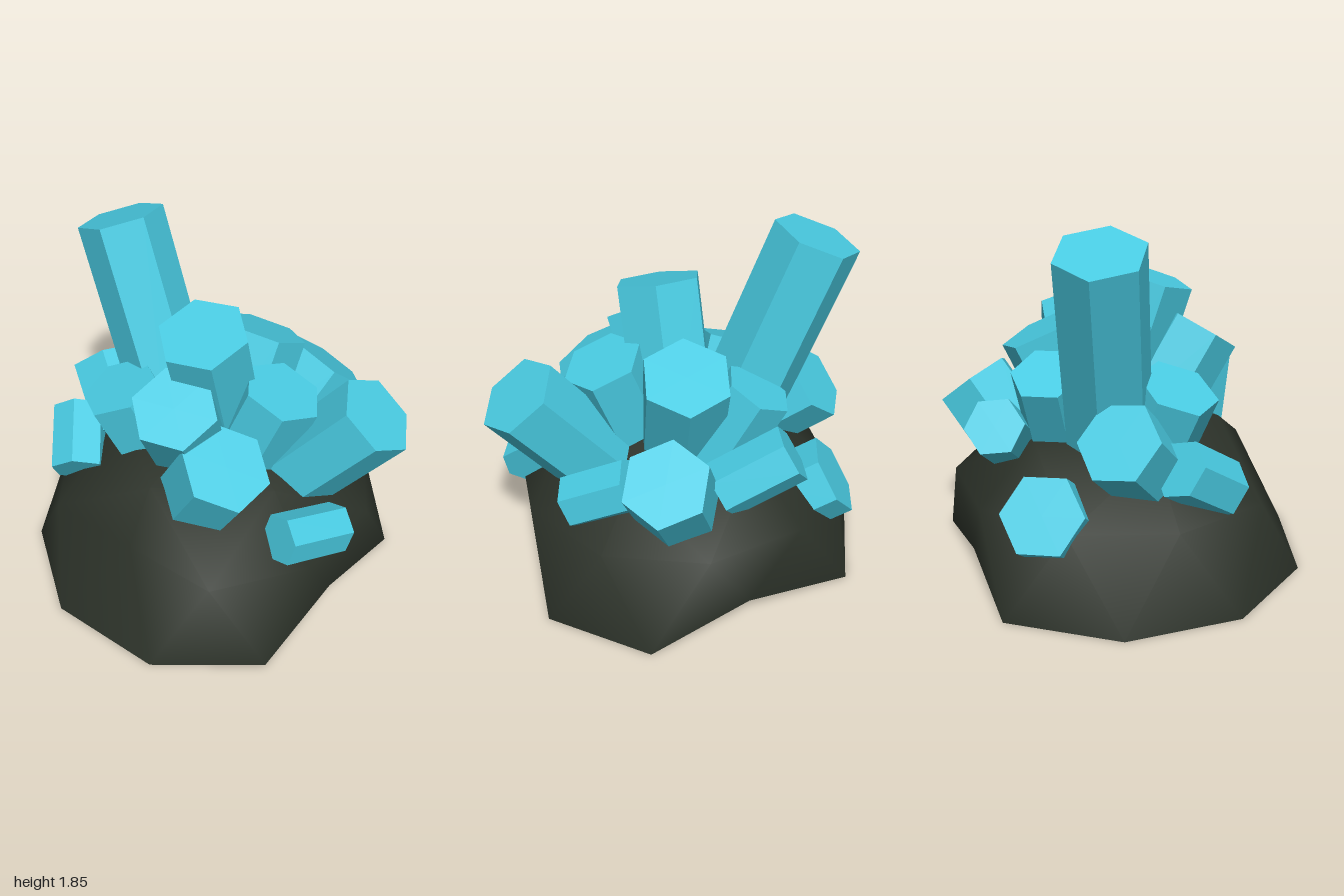
import * as THREE from 'three';

const crystalMat = new THREE.MeshStandardMaterial({ color: 0x49cbe2 });
crystalMat.name = 'cyan crystal';
const rockMat = new THREE.MeshStandardMaterial({ color: 0x2c3229, side: THREE.DoubleSide });
rockMat.name = 'dark rock';

// Evenly spaced points on a level ring, starting from -x
function ring(count, rx, rz, y, turn = 0) {
  return Array.from({ length: count }, (_, k) => {
    const a = Math.PI + turn + (k / count) * Math.PI * 2;
    return new THREE.Vector3(rx * Math.cos(a), y, rz * Math.sin(a));
  });
}

// Hollow rock dome: rim, shoulder, crown and peak, with a few dents
function makeRock() {
  const rim = ring(10, 0.98, 1, 0, Math.PI / 10);
  const shoulder = ring(10, 0.86, 0.86, 0.46);
  const crown = ring(5, 0.53, 0.53, 0.74);

  // Flattened front and left flank, lower crown on the right
  rim.forEach((p) => { p.z = Math.min(p.z, 0.77); });
  shoulder.forEach((p) => {
    p.x = Math.max(p.x, -0.7);
    p.z = Math.min(p.z, 0.8);
  });
  crown[3].y = 0.66;
  // Notches lifted from the ground
  rim[7].y = 0.1;
  rim[4].set(0.76, 0.1, -0.23);

  const e = (k) => (k + 10) % 10;
  const r = (k) => 10 + (k + 10) % 10;
  const s = (j) => 20 + j % 5;
  const peak = 25;
  const index = [];
  for (let k = 0; k < 10; k++) {
    index.push(r(k), e(k), e(k - 1), r(k), r(k + 1), e(k));
  }
  for (let j = 0; j < 5; j++) {
    index.push(s(j), r(2 * j + 1), r(2 * j), s(j), r(2 * j), r(2 * j - 1));
    index.push(s(j), s(j + 1), r(2 * j + 1), peak, s(j + 1), s(j));
  }
  const points = [...rim, ...shoulder, ...crown, new THREE.Vector3(0, 0.9, 0)];
  const geo = new THREE.BufferGeometry().setFromPoints(points);
  geo.setIndex(index);
  geo.computeVertexNormals();
  const rock = new THREE.Mesh(geo, rockMat);
  rock.name = 'rockBase';
  return rock;
}

// Six-sided prism: outer end centred on x, y, z; axis points along dx, dy, dz
function makeCrystal(name, radius, length, x, y, z, dx, dy, dz, roll = 0.1) {
  const geo = new THREE.CylinderGeometry(radius, radius, length, 6).toNonIndexed();
  geo.translate(0, -length / 2, 0);
  geo.computeVertexNormals();
  const crystal = new THREE.Mesh(geo, crystalMat);
  crystal.name = name;
  crystal.position.set(x, y, z);
  const axis = new THREE.Vector3(dx, dy, dz).normalize();
  crystal.quaternion.setFromUnitVectors(new THREE.Vector3(0, 1, 0), axis);
  crystal.rotateY(roll);
  return crystal;
}

export function createModel() {
  const model = new THREE.Group();
  model.name = 'crystalCluster';
  model.add(
    makeRock(),
    // Upper cluster
    makeCrystal('tallCrystal', 0.225, 1.3, 0.1, 1.77, -0.69, 0.05, 1, -0.38, -0.24),
    makeCrystal('topLeftCrystal', 0.23, 0.85, -0.16, 1.49, 0.05, -0.32, 1, 0.06, 0.3),
    makeCrystal('topRightCrystal', 0.23, 0.7, 0.39, 1.225, 0.02, 0.48, 1, 0.05, 0.4),
    makeCrystal('middleCrystal', 0.21, 0.6, 0.06, 1.17, 0.38, 0.12, 1, 0.38),
    makeCrystal('innerBackCrystal', 0.18, 0.5, 0.36, 1.1, -0.35, 0.15, 1, -0.5, 0.3),
    makeCrystal('backSideCrystal', 0.21, 0.55, -0.28, 1.04, -0.41, -0.34, 1, -0.3, 0.5),
    // Front and sides
    makeCrystal('frontCrystal', 0.22, 0.75, 0.23, 1.13, 0.82, 0.2, 1, 0.8),
    makeCrystal('frontSideCrystal', 0.23, 0.45, -0.4, 0.985, 0.38, -0.2, 1, 0.63, 0.5),
    makeCrystal('outerSideCrystal', 0.22, 0.6, -0.42, 1.21, 0.08, -0.6, 1, 0.25, 0.3),
    makeCrystal('largeSideCrystal', 0.22, 0.6, 0.765, 0.89, 0.2, 0.73, 1, 0.35),
    // Low stubs on the back
    makeCrystal('highBackStub', 0.21, 0.4, 0.02, 0.9, -0.76, 0.35, 0.6, -0.65, 0.2),
    makeCrystal('lowBackStub', 0.21, 0.3, 0.38, 0.54, -0.77, 0.22, 0.5, -0.75, 0.3),
    // Small prisms lying across the slope
    makeCrystal('lowFrontPrism', 0.13, 0.37, -0.01, 0.55, 0.79, 0.38, -0.1, 0.14, 0.3),
    makeCrystal('lowCornerPrism', 0.14, 0.36, 0.53, 0.74, 0.31, 0.15, 0.17, -0.3, 0.5),
    makeCrystal('smallSidePrism', 0.15, 0.4, 0.61, 0.87, -0.46, 0.05, 0.2, -0.33, 0.5),
    makeCrystal('lowSidePrism', 0.15, 0.35, -0.5, 0.56, -0.53, -0.25, -0.2, 0.2, 0.3),
  );
  return model;
}
